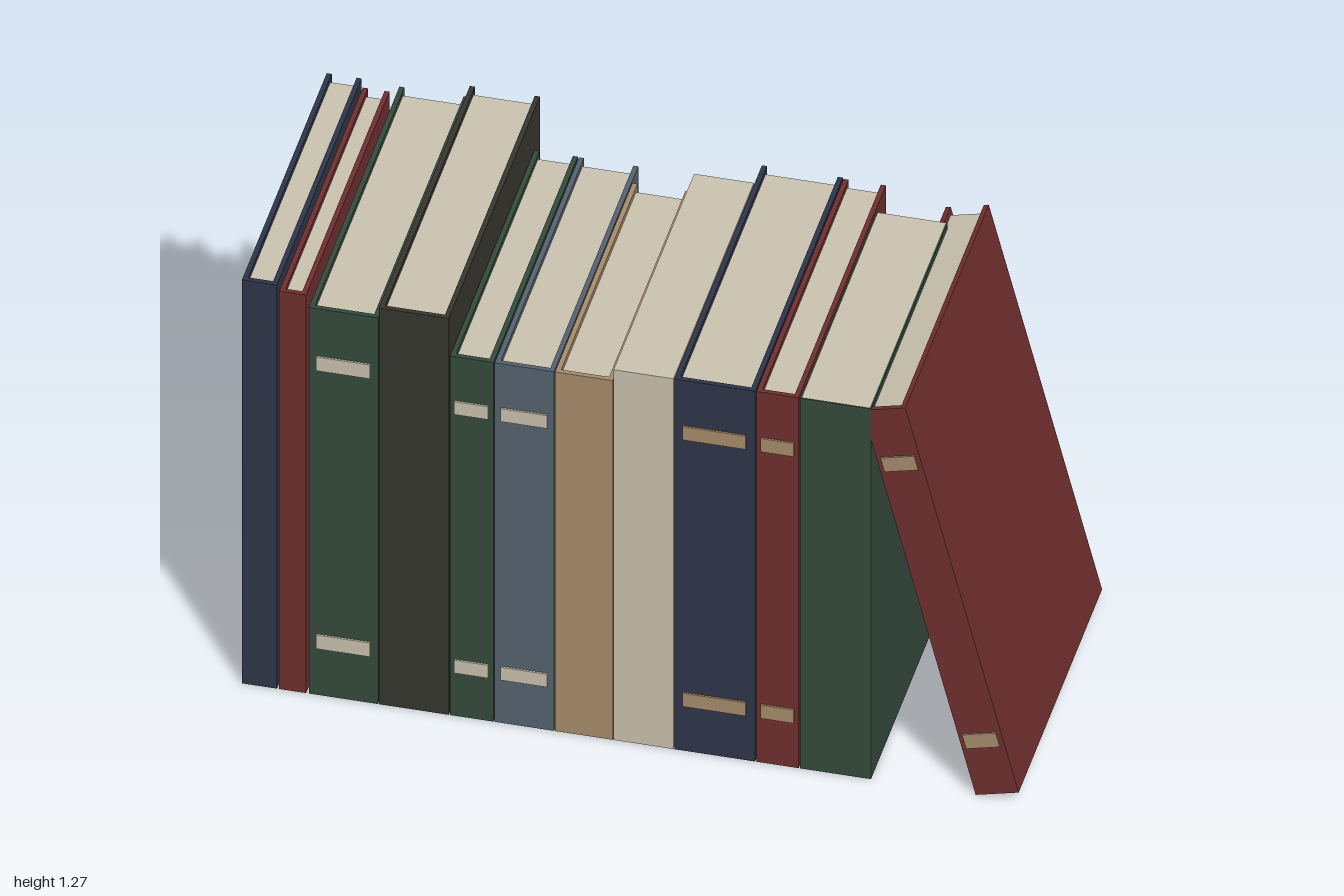
import * as THREE from 'three';

const material = (name, color) => {
  const m = new THREE.MeshStandardMaterial({ color });
  m.name = name;
  return m;
};

const FRONT = 0.467; // all spines line up here

export function createModel() {
  const mats = {
    navy: material('navy', 0x2f364a),
    red: material('red', 0x702f2f),
    green: material('green', 0x354b3d),
    charcoal: material('charcoal', 0x37362f),
    slate: material('slate', 0x566371),
    tan: material('tan', 0xa88d6c),
    cream: material('cream', 0xcdc4b1),
  };

  // Box given by its limits
  const block = (parent, name, mat, x0, x1, y0, y1, z0, z1) => {
    const mesh = new THREE.Mesh(new THREE.BoxGeometry(x1 - x0, y1 - y0, z1 - z0), mats[mat]);
    mesh.position.set((x0 + x1) / 2, (y0 + y1) / 2, (z0 + z1) / 2);
    mesh.name = name;
    parent.add(mesh);
  };

  // Book with its lower left spine corner at the origin
  const makeBook = ({ w, h, back, cover, band, paperback, front = FRONT }) => {
    const book = new THREE.Group();
    const t = paperback ? 0.004 : 0.013;    // cover thickness
    const inset = paperback ? 0 : 0.015;    // pages set back from the cover edges
    block(book, 'leftCover', cover, 0, t, 0, h, back, front);
    block(book, 'rightCover', cover, w - t, w, 0, h, back, front);
    block(book, 'spine', cover, t, w - t, 0, h, front - t, front);
    block(book, 'pages', 'cream', t, w - t, inset, h - inset, back + inset, front - t);
    // Two thin bands across the spine
    if (band) {
      for (const f of [0.14, 0.86]) {
        block(book, 'spineBand', band, w * 0.11, w * 0.89,
          h * (f - 0.018), h * (f + 0.018), front, front + 0.005);
      }
    }
    return book;
  };

  // Upright books: left x, right x, height, back z, cover, band, paperback
  const row = [
    [-1.0, -0.91, 1.27, -0.405, 'navy'],
    [-0.904, -0.835, 1.252, -0.392, 'red'],
    [-0.828, -0.65, 1.215, -0.465, 'green', 'cream'],
    [-0.648, -0.468, 1.247, -0.47, 'charcoal'],
    [-0.465, -0.353, 1.13, -0.402, 'green', 'cream'],
    [-0.35, -0.197, 1.13, -0.4, 'slate', 'cream'],
    [-0.195, -0.046, 1.13, -0.33, 'tan'],
    [-0.044, 0.11, 1.165, -0.36, 'cream', null, true],
    [0.112, 0.32, 1.165, -0.435, 'navy', 'tan'],
    [0.323, 0.432, 1.165, -0.43, 'red', 'tan'],
    [0.436, 0.618, 1.165, -0.318, 'green', null, true],
  ];

  const model = new THREE.Group();
  model.name = 'bookRow';
  row.forEach(([x0, x1, h, back, cover, band, paperback], i) => {
    const book = makeBook({ w: x1 - x0, h, back, cover, band, paperback });
    book.name = `book${i + 1}`;
    book.position.x = x0;
    model.add(book);
  });

  // Last book leans against the row
  const leaning = makeBook({
    w: 0.114, h: 1.192, back: -0.392, cover: 'red', band: 'tan', front: FRONT - 0.001,
  });
  leaning.name = 'leaningBook';
  leaning.position.x = 0.887;
  leaning.rotation.z = 0.247;
  model.add(leaning);

  return model;
}
